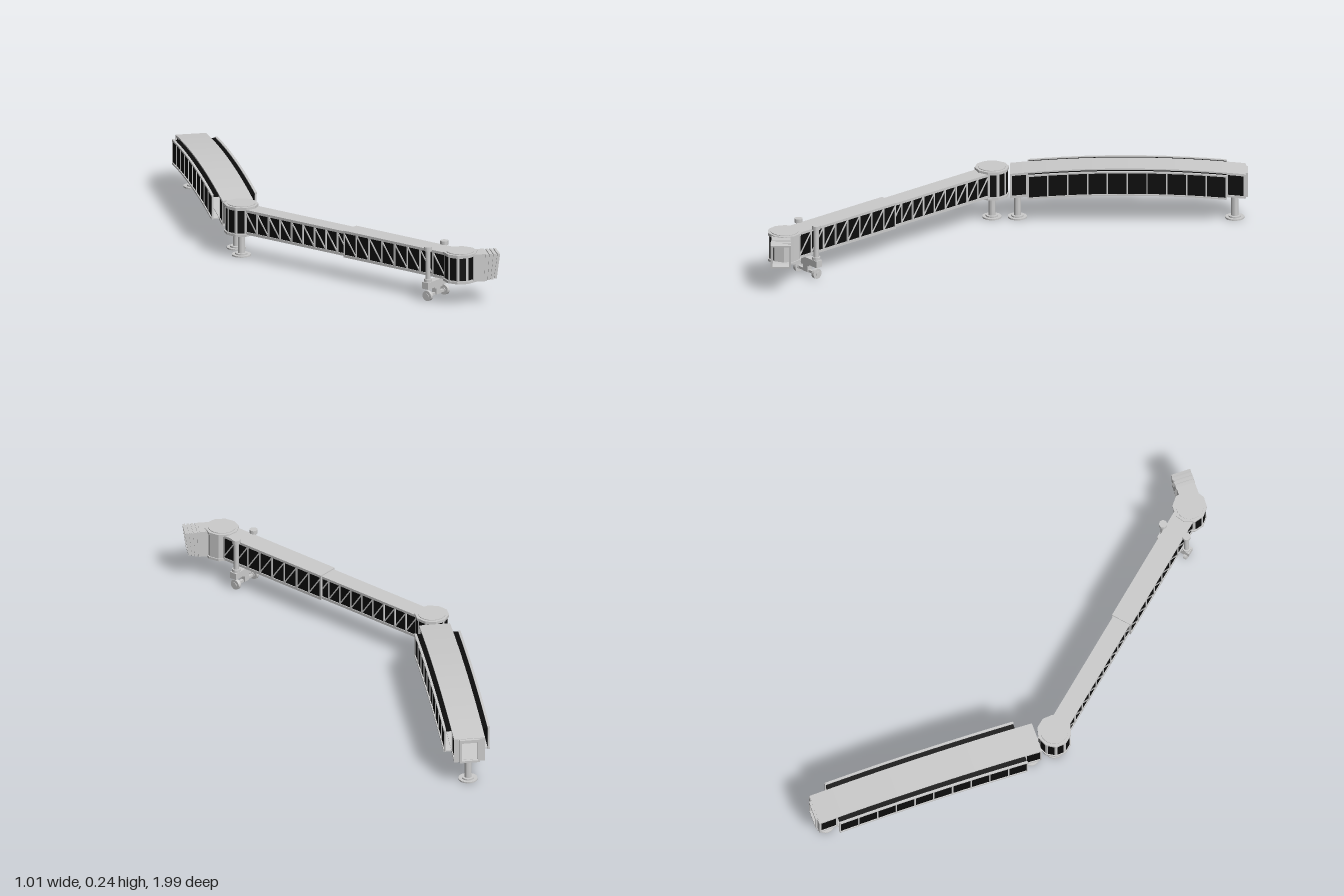
import * as THREE from 'three';

const grey = new THREE.MeshStandardMaterial({ color: 0xcccccc, flatShading: true });
const black = new THREE.MeshStandardMaterial({ color: 0x0c0c0c, flatShading: true });

function add(parent, name, geometry, material = grey) {
  const mesh = new THREE.Mesh(geometry, material);
  mesh.name = name;
  parent.add(mesh);
  return mesh;
}

function group(parent, name, x = 0, y = 0, z = 0) {
  const g = new THREE.Group();
  g.name = name;
  g.position.set(x, y, z);
  parent.add(g);
  return g;
}

// Box given by its limits
function box(parent, name, x0, x1, y0, y1, z0, z1, material = grey) {
  const m = add(parent, name, new THREE.BoxGeometry(x1 - x0, y1 - y0, z1 - z0), material);
  m.position.set((x0 + x1) / 2, (y0 + y1) / 2, (z0 + z1) / 2);
  return m;
}

// Upright cylinder given by its bottom and top
function post(parent, name, r, x, z, y0, y1, sides = 16) {
  const m = add(parent, name, new THREE.CylinderGeometry(r, r, y1 - y0, sides));
  m.position.set(x, (y0 + y1) / 2, z);
  return m;
}

// Box that follows the shallow arch of the fixed walkway
const arch = (z) => 0.026 * (1 - ((z + 0.5) / 0.5) ** 2);
function archedBox(parent, name, x0, x1, y0, y1, z0, z1, material = grey) {
  const n = Math.max(1, Math.round((z1 - z0) / 0.05));
  const geo = new THREE.BoxGeometry(x1 - x0, y1 - y0, z1 - z0, 1, 1, n);
  geo.translate((x0 + x1) / 2, (y0 + y1) / 2, (z0 + z1) / 2);
  const p = geo.attributes.position;
  for (let i = 0; i < p.count; i++) p.setY(i, p.getY(i) + arch(p.getZ(i)));
  geo.computeVertexNormals();
  return add(parent, name, geo, material);
}

function pillar(parent, x, z, top) {
  const g = group(parent, 'pillar', x, 0, z);
  post(g, 'pillarShaft', 0.015, 0, 0, 0, top);
  post(g, 'pillarBase', 0.04, 0, 0, 0, 0.006, 24);
  post(g, 'pillarFoot', 0.026, 0, 0, 0.006, 0.012, 24);
}

// Fixed arched walkway, running along z
function fixedWalkway(parent) {
  const g = group(parent, 'fixedWalkway', -0.41);
  archedBox(g, 'roof', -0.065, 0.065, 0.206, 0.216, -0.99, -0.01);
  archedBox(g, 'floor', -0.065, 0.065, 0.107, 0.117, -0.99, -0.01);
  const z0 = -0.91, z1 = -0.085, bays = 10;
  for (const s of [-1, 1]) {
    const side = (name, a, b, ...rest) =>
      archedBox(g, name, Math.min(s * a, s * b), Math.max(s * a, s * b), ...rest);
    // Outer glazing with its frame
    side('sideGlass', 0.088, 0.092, 0.114, 0.21, z0, z1, black);
    side('topGlassLedge', 0.064, 0.09, 0.205, 0.21, z0, z1, black);
    side('bottomLedge', 0.064, 0.09, 0.109, 0.114, z0, z1);
    side('topRail', 0.087, 0.097, 0.207, 0.214, z0, z1);
    side('bottomRail', 0.087, 0.097, 0.107, 0.114, z0, z1);
    for (let i = 0; i <= bays; i++) {
      const z = z0 + ((z1 - z0) * i) / bays;
      side('mullion', 0.088, 0.095, 0.11, 0.212, z - 0.003, z + 0.003);
    }
    // Narrow glazed vestibules at both ends
    for (const [a, b] of [[-0.99, z0], [z1, -0.01]]) {
      side('vestibuleGlass', 0.057, 0.061, 0.115, 0.208, a, b, black);
      for (const z of [a + 0.004, b - 0.004]) {
        side('vestibulePost', 0.055, 0.065, 0.11, 0.212, z - 0.004, z + 0.004);
      }
    }
    // Door frame at the far end
    side('doorPost', 0.034, 0.042, 0.107, 0.214, -1, -0.985);
    side('endPanel', 0.042, 0.064, 0.11, 0.212, -0.992, -0.987);
  }
  archedBox(g, 'doorLintel', -0.042, 0.042, 0.2, 0.214, -1, -0.985);
  archedBox(g, 'doorSill', -0.042, 0.042, 0.107, 0.116, -1, -0.985);
  pillar(g, 0, -0.04, 0.112);
  pillar(g, 0, -0.945, 0.112);
}

// Ten-sided turning room; angles are measured in degrees from +z towards +x
function drum(parent, name, x, z, firstAngle, glazed) {
  const g = group(parent, name, x, 0, z);
  const turn = THREE.MathUtils.degToRad(firstAngle - 18);
  post(g, 'walls', 0.067, 0, 0, 0.105, 0.222, 10).rotation.y = turn;
  for (const [y0, y1] of [[0.1, 0.11], [0.214, 0.225]]) {
    post(g, 'ringBeam', 0.072, 0, 0, y0, y1, 10).rotation.y = turn;
  }
  post(g, 'roofDisc', 0.058, 0, 0, 0.225, 0.228, 24);
  for (const i of glazed) {
    const bay = group(g, 'windowBay');
    bay.rotation.y = THREE.MathUtils.degToRad(firstAngle + 36 * i);
    box(bay, 'window', -0.014, 0.014, 0.114, 0.21, 0.06, 0.0652, black);
  }
}

// Straight trussed tunnel section along local z
function tunnelSection(parent, name, half, y0, y1, z0, z1, bays) {
  const g = group(parent, name);
  box(g, 'glass', -half + 0.004, half - 0.004, y0 + 0.004, y1 - 0.004, z0 + 0.004, z1 - 0.004, black);
  box(g, 'roof', -half, half, y1 - 0.011, y1, z0, z1);
  box(g, 'floor', -half, half, y0, y0 + 0.011, z0, z1);
  box(g, 'endWall', -half + 0.002, half - 0.002, y0, y1, z0, z0 + 0.006);
  const step = (z1 - z0) / bays;
  const low = y0 + 0.01, high = y1 - 0.01, h = high - low;
  for (const s of [-1, 1]) {
    const x = s * (half - 0.003);
    for (let i = 0; i <= bays; i++) {
      const z = z0 + i * step;
      const zc = Math.min(Math.max(z, z0 + 0.003), z1 - 0.003);
      box(g, 'upright', x - 0.003, x + 0.003, low, high, zc - 0.003, zc + 0.003);
      if (i === bays) continue;
      const d = add(g, 'diagonal', new THREE.BoxGeometry(0.005, Math.hypot(h, step), 0.005));
      d.position.set(x, (low + high) / 2, z + step / 2);
      d.rotation.x = -Math.atan2(step, h);
    }
  }
}

// Lifting columns, cross beam and wheels
function driveUnit(parent, z) {
  const g = group(parent, 'driveUnit', 0, 0, z);
  for (const s of [-1, 1]) {
    const x = s * 0.056;
    post(g, 'liftColumn', 0.011, x, 0, 0.08, 0.225);
    post(g, 'columnCap', 0.017, x, 0, 0.218, 0.235);
    post(g, 'columnCollar', 0.017, x, 0, 0.084, 0.096);
    const tyre = post(g, 'wheel', 0.022, s * 0.058, 0, 0.015, 0.029, 20);
    const hub = post(g, 'wheelHub', 0.01, s * 0.058, 0, 0.012, 0.032, 12);
    tyre.rotation.z = hub.rotation.z = Math.PI / 2;
  }
  box(g, 'crossBeam', -0.076, 0.076, 0.054, 0.083, -0.016, 0.016);
  box(g, 'swivelPost', -0.014, 0.014, 0.018, 0.055, -0.012, 0.012);
  box(g, 'swivelPlate', -0.025, 0.025, 0.047, 0.055, -0.014, 0.014);
  box(g, 'axle', -0.058, 0.058, 0.016, 0.027, -0.006, 0.006);
}

// Open rectangular frame standing across x
function frame(parent, name, w, h, wall, depth, x, y, z) {
  const rect = (path, a, b) =>
    path.moveTo(-a, -b).lineTo(a, -b).lineTo(a, b).lineTo(-a, b).closePath();
  const shape = rect(new THREE.Shape(), w / 2, h / 2);
  shape.holes.push(rect(new THREE.Path(), w / 2 - wall, h / 2 - wall));
  const geo = new THREE.ExtrudeGeometry(shape, { depth, bevelEnabled: false });
  geo.translate(0, 0, -depth / 2).rotateY(Math.PI / 2);
  const m = add(parent, name, geo);
  m.position.set(x, y, z);
  return m;
}

// Folding hood at the cab door
function hood(parent) {
  const g = group(parent, 'hood');
  frame(g, 'hoodNeck', 0.08, 0.118, 0.007, 0.05, 0.415, 0.163, 0.94);
  for (let i = 0; i < 4; i++) {
    const x = 0.444 + i * 0.0155;
    const tilt = -0.03 - i * 0.035;
    const y = 0.163 + i * 0.0015;
    const pleat = frame(g, 'hoodPleat', 0.084, 0.116 - i * 0.003, 0.008, 0.011, x, y, 0.94);
    const web = frame(g, 'hoodFold', 0.076, 0.108 - i * 0.003, 0.004, 0.017, x - 0.007, y, 0.94);
    pleat.rotation.z = web.rotation.z = tilt;
  }
}

export function createModel() {
  const model = new THREE.Group();
  model.name = 'boardingBridge';
  fixedWalkway(model);
  drum(model, 'rotunda', -0.41, 0.066, -13, [0, 1, 2, 3, 4, 5, 6, 7, 8, 9]);
  pillar(model, -0.41, 0.066, 0.102);

  // Telescopic tunnel swung out from the rotunda
  const tunnel = group(model, 'telescopicTunnel', -0.41, 0, 0.066);
  tunnel.rotation.y = Math.atan2(0.755, 0.859);
  tunnelSection(tunnel, 'innerTunnel', 0.039, 0.108, 0.215, 0.05, 0.59, 9);
  tunnelSection(tunnel, 'outerTunnel', 0.045, 0.104, 0.22, 0.567, 1.1, 8);
  driveUnit(tunnel, 1.018);

  drum(model, 'cab', 0.345, 0.925, -2, [-2, -1, 0, 1]);
  hood(model);
  return model;
}
